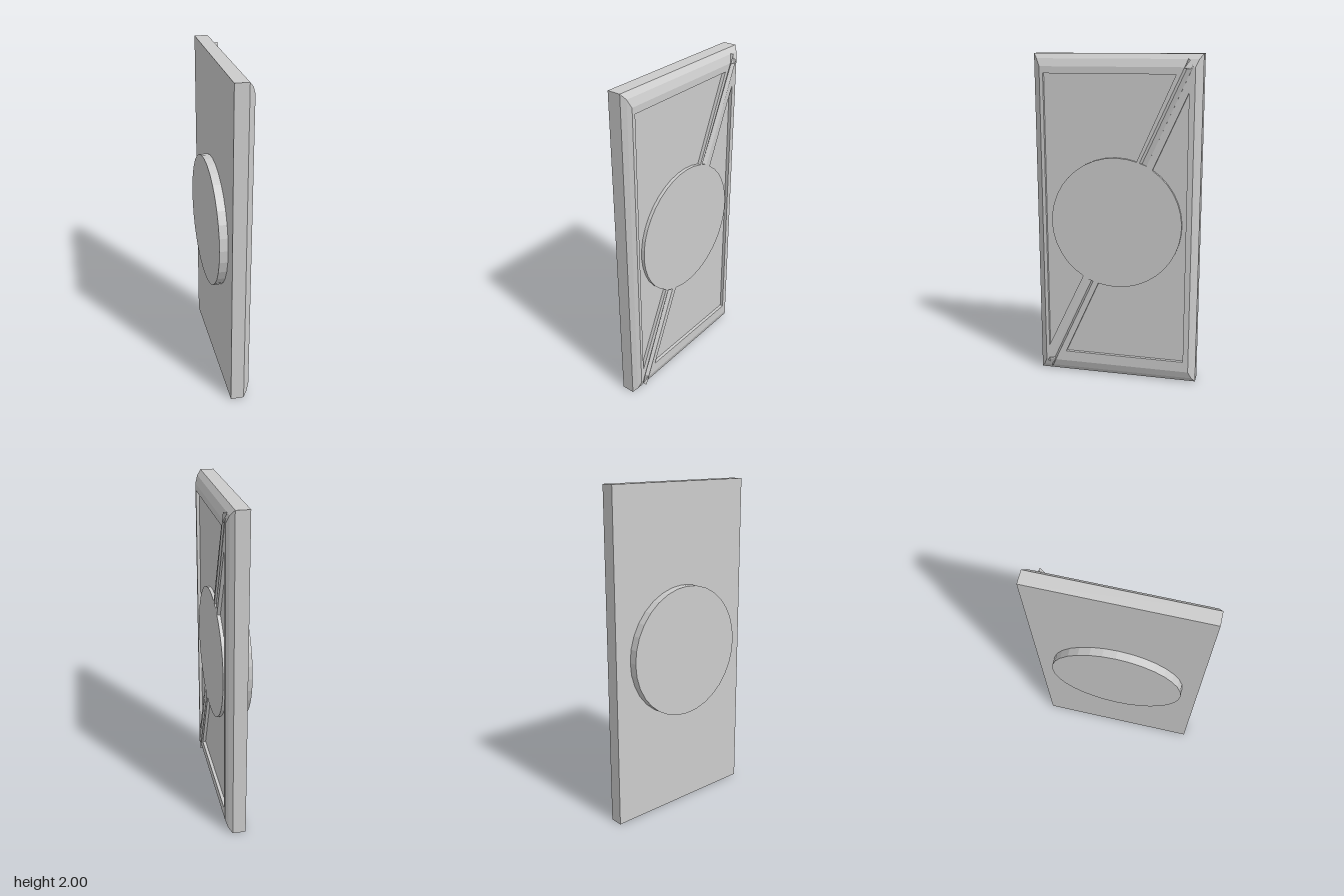
import * as THREE from 'three';

const FLOOR = 0.06, FACE = 0.08, LIP = 0.085, DISC_R = 0.4;
const material = new THREE.MeshStandardMaterial({
  color: 0xcccccc, flatShading: true, side: THREE.DoubleSide,
});

// Builds a mesh from a list of quads, each given as four corner points
function quadMesh(name, quads) {
  const pos = [];
  for (const [a, b, c, d] of quads) pos.push(...a, ...b, ...c, ...a, ...c, ...d);
  const geo = new THREE.BufferGeometry();
  geo.setAttribute('position', new THREE.Float32BufferAttribute(pos, 3));
  geo.computeVertexNormals();
  return named(name, geo);
}

function named(name, geo) {
  const mesh = new THREE.Mesh(geo, material);
  mesh.name = name;
  return mesh;
}

// Recessed panel outline: corners, with an arc around the central disc
function panelPath(before, from, to, after) {
  const path = new THREE.Path();
  before.forEach(([x, y], i) => (i ? path.lineTo(x, y) : path.moveTo(x, y)));
  const steps = 18;
  for (let i = 0; i <= steps; i++) {
    const a = THREE.MathUtils.degToRad(from + ((to - from) * i) / steps);
    path.lineTo(DISC_R * Math.cos(a), DISC_R * Math.sin(a));
  }
  after.forEach(([x, y]) => path.lineTo(x, y));
  path.closePath();
  return path;
}

export function createModel() {
  const model = new THREE.Group();
  model.name = 'panelTile';

  // Drawn facing local +z, then turned to face +x
  const tile = new THREE.Group();
  tile.name = 'tile';
  tile.rotation.y = Math.PI / 2;
  tile.position.y = 1;
  model.add(tile);

  // Slab with rounded bevel: rectangular rings [half width, half height, depth]
  const rings = [[0.5, 1, -0.04], [0.5, 1, 0.04], [0.478, 0.97, 0.064], [0.458, 0.925, FACE]]
    .map(([w, h, z]) => [[-w, -h, z], [w, -h, z], [w, h, z], [-w, h, z]]);
  const quads = [[...rings[0]].reverse()];
  for (let r = 0; r < rings.length - 1; r++) {
    for (let i = 0; i < 4; i++) {
      const j = (i + 1) % 4;
      quads.push([rings[r][i], rings[r][j], rings[r + 1][j], rings[r + 1][i]]);
    }
  }
  tile.add(quadMesh('slab', quads));

  // Floor of the recessed panels
  const floor = named('panelFloor', new THREE.PlaneGeometry(0.916, 1.85));
  floor.position.z = FLOOR;
  tile.add(floor);

  // Raised frame, diagonal bands and disc, cut by two panels and two grooves
  const face = new THREE.Shape([[-0.458, -0.925], [0.458, -0.925], [0.458, 0.925], [-0.458, 0.925]]
    .map(([x, y]) => new THREE.Vector2(x, y)));
  face.holes.push(
    panelPath([[-0.437, -0.83], [-0.437, 0.885], [0.35, 0.885]], 71.8, 239, []),
    panelPath([[0.425, -0.86], [-0.325, -0.86]], 254, 416.6, [[0.425, 0.785]]),
  );

  // Groove edges at the disc and at the corner
  const nearL = [0.143, 0.374], nearR = [0.186, 0.358];
  const farL = [0.419, 0.973], farR = [0.446, 0.931];
  const mix = (a, b, t) => [a[0] + (b[0] - a[0]) * t, a[1] + (b[1] - a[1]) * t];
  const cut = [nearL, mix(nearL, farL, 0.91), mix(nearR, farR, 0.97), nearR];
  for (const s of [1, -1]) {
    face.holes.push(new THREE.Path(cut.map(([x, y]) => new THREE.Vector2(s * x, s * y))));
  }
  const frame = named('raisedFrame', new THREE.ExtrudeGeometry(face, {
    depth: FACE - FLOOR, bevelEnabled: false,
  }));
  frame.position.z = FLOOR;
  tile.add(frame);

  // V-shaped channels running from the disc to opposite corners
  const at = ([x, y], z) => [x, y, z];
  const nearV = at(mix(nearL, nearR, 0.3), FLOOR + 0.001);
  const farV = at(mix(farL, farR, 0.3), FLOOR + 0.001);
  for (const [name, turn] of [['upperChannel', 0], ['lowerChannel', Math.PI]]) {
    const channel = quadMesh(name, [
      [at(nearL, FACE), nearV, farV, at(farL, LIP)],
      [nearV, at(nearR, FACE), at(farR, LIP), farV],
      [at(nearL, FLOOR), at(nearL, FACE), at(farL, LIP), at(farL, FLOOR)],
      [at(nearR, FACE), at(nearR, FLOOR), at(farR, FLOOR), at(farR, LIP)],
    ]);
    channel.rotation.z = turn;
    tile.add(channel);
  }

  // Round boss on the rear
  const boss = named('rearDisc', new THREE.CylinderGeometry(DISC_R, DISC_R, 0.05, 32));
  boss.rotation.x = Math.PI / 2;
  boss.position.z = -0.065;
  tile.add(boss);

  return model;
}
